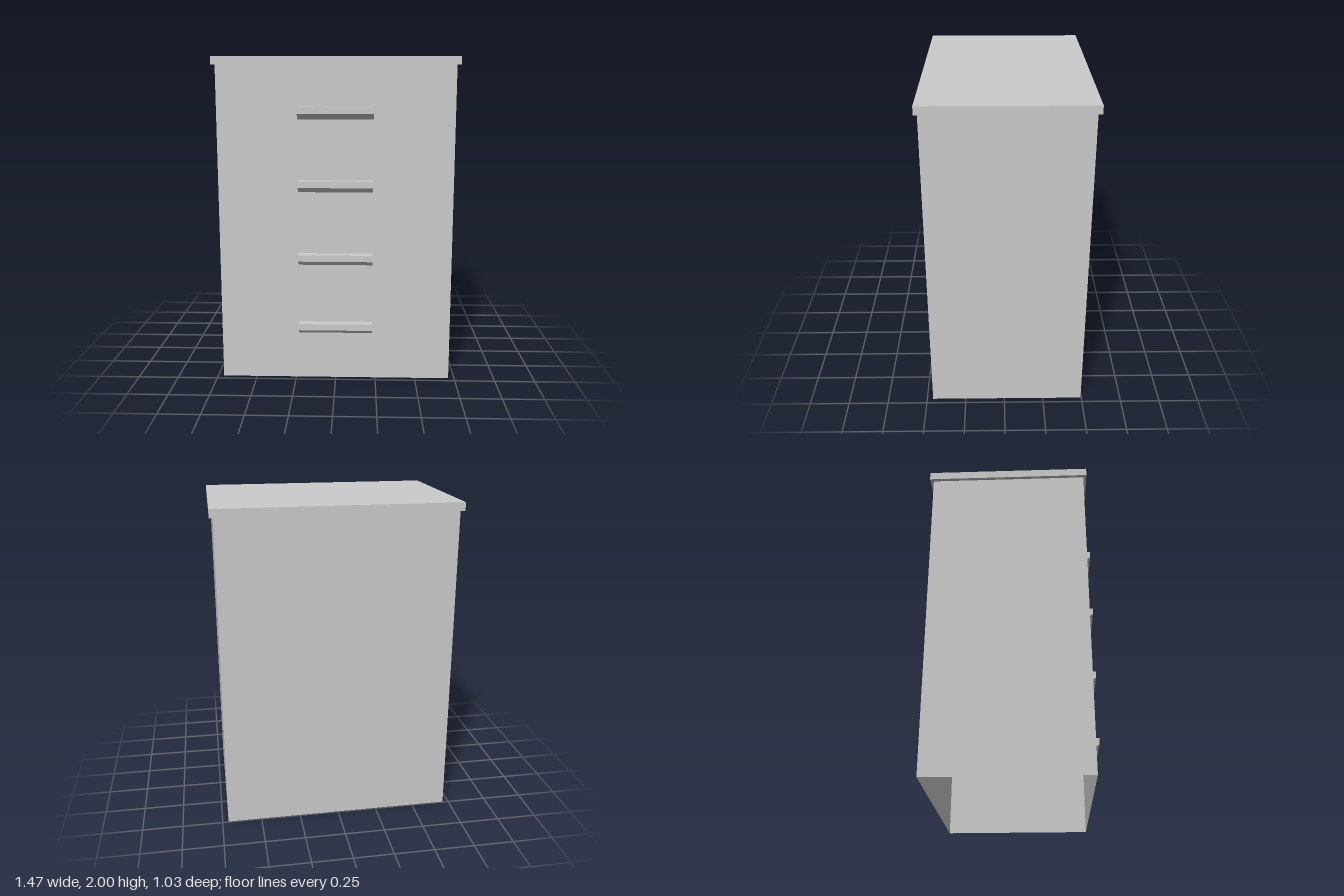
import * as THREE from 'three';

export function createModel() {
  const group = new THREE.Group();
  const material = new THREE.MeshStandardMaterial({ color: 0xcccccc, side: THREE.DoubleSide });
  const add = (name, geometry, x, y, z, turn = 0) => {
    const mesh = new THREE.Mesh(geometry, material);
    mesh.name = name;
    mesh.position.set(x, y, z);
    mesh.rotation.y = turn;
    group.add(mesh);
  };

  // Cabinet body: four thin walls, open underneath
  const halfWidth = 0.713, front = 0.462, back = -0.495, height = 1.95;
  const depth = front - back, midZ = (front + back) / 2;
  const wide = new THREE.PlaneGeometry(halfWidth * 2, height);
  const deep = new THREE.PlaneGeometry(depth, height);
  add('frontPanel', wide, 0, height / 2, front);
  add('backPanel', wide, 0, height / 2, back, Math.PI);
  add('leftPanel', deep, halfWidth, height / 2, midZ, Math.PI / 2);
  add('rightPanel', deep, -halfWidth, height / 2, midZ, -Math.PI / 2);

  // Overhanging top slab
  add('top', new THREE.BoxGeometry(1.47, 0.05, 0.997), 0, 1.975, -0.0175);

  // Drawer handles: wedge profile (out from the front, down from the top edge)
  const profile = new THREE.Shape([
    [0, 0], [0, -0.074], [0.055, -0.04], [0.055, 0],
  ].map(([x, y]) => new THREE.Vector2(x, y)));
  const handle = new THREE.ExtrudeGeometry(profile, { depth: 0.454, bevelEnabled: false })
    .translate(0, 0, -0.227)
    .rotateY(-Math.PI / 2);
  [1.705, 1.265, 0.81, 0.37].forEach((y, i) => add(`drawerHandle${i + 1}`, handle, 0, y, front));

  return group;
}
